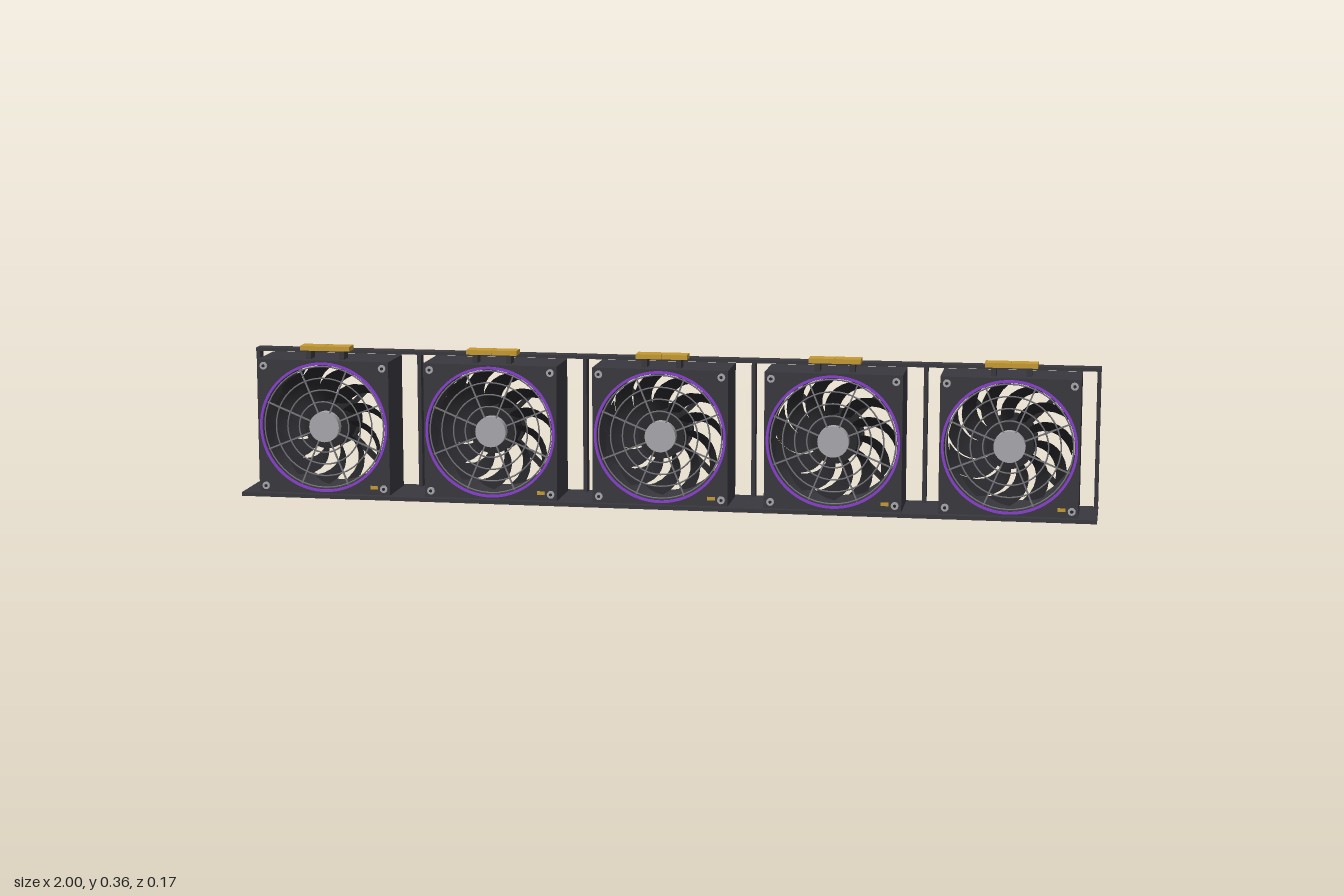
import * as THREE from 'three';

const mat = (name, color, side = THREE.FrontSide) => {
  const m = new THREE.MeshStandardMaterial({ color, side });
  m.name = name;
  return m;
};

export function createModel() {
  const M = {
    steel: mat('dark steel', 0x39383e),
    plastic: mat('black plastic', 0x2a2a2e),
    blade: mat('blade black', 0x26262a, THREE.DoubleSide),
    wire: mat('guard wire grey', 0x77777c),
    silver: mat('silver', 0xa8a8ac),
    cable: mat('cable light grey', 0xd4d4d6),
    purple: mat('purple', 0x8a3fd0),
    gold: mat('gold', 0xc49a32),
  };
  const root = new THREE.Group();
  root.name = 'fanTray';

  const add = (parent, name, geo, material, x = 0, y = 0, z = 0) => {
    const mesh = new THREE.Mesh(geo, material);
    mesh.name = name;
    mesh.position.set(x, y, z);
    parent.add(mesh);
    return mesh;
  };
  const box = (parent, name, w, h, d, material, x, y, z) =>
    add(parent, name, new THREE.BoxGeometry(w, h, d), material, x, y, z);
  // Disc whose axis runs along z
  const disc = (parent, name, r, d, material, x, y, z, sides = 32) =>
    add(parent, name, new THREE.CylinderGeometry(r, r, d, sides).rotateX(Math.PI / 2), material, x, y, z);
  // Flat ring extruded along z from z0
  const ring = (parent, name, ro, ri, d, material, z0) => {
    const s = new THREE.Shape().absarc(0, 0, ro, 0, Math.PI * 2);
    s.holes.push(new THREE.Path().absarc(0, 0, ri, 0, Math.PI * 2, true));
    return add(parent, name, new THREE.ExtrudeGeometry(s, { depth: d, bevelEnabled: false, curveSegments: 48 }), material, 0, 0, z0);
  };

  // Tray: floor, top rail and thin uprights between the fans
  box(root, 'trayFloor', 2, 0.009, 0.162, M.steel, 0, 0.0045, 0.004);
  box(root, 'topRail', 2, 0.008, 0.034, M.steel, 0, 0.331, -0.0665);
  for (const x of [-0.995, -0.6, -0.2, 0.2, 0.6, 0.995])
    box(root, 'upright', 0.009, 0.326, 0.027, M.steel, x, 0.166, -0.0665);

  // Square fan housing with a round bore
  const half = 0.158, bore = 0.147, back = -0.053, front = 0.073;
  const square = new THREE.Shape([
    new THREE.Vector2(-half, -half), new THREE.Vector2(half, -half),
    new THREE.Vector2(half, half), new THREE.Vector2(-half, half),
  ]);
  square.holes.push(new THREE.Path().absarc(0, 0, bore, 0, Math.PI * 2, true));
  const housingGeo = new THREE.ExtrudeGeometry(square, { depth: front - back, bevelEnabled: false, curveSegments: 48 });

  // Swept, pitched blade: plane bent into polar coordinates
  const bladeGeo = new THREE.PlaneGeometry(1, 1, 6, 8);
  const p = bladeGeo.attributes.position;
  for (let i = 0; i < p.count; i++) {
    const u = p.getX(i), v = p.getY(i) + 0.5;
    const r = 0.05 + 0.091 * v;
    const a = u * (0.42 - 0.04 * v) - 0.6 * v * v;
    p.setXYZ(i, r * Math.cos(a), r * Math.sin(a), u * 0.06 + 0.006 * (1 - 4 * u * u));
  }
  bladeGeo.computeVertexNormals();

  const cablePath = new THREE.CatmullRomCurve3([
    new THREE.Vector3(0.146, -0.1, -0.058),
    new THREE.Vector3(0.138, -0.125, -0.062),
    new THREE.Vector3(0.118, -0.152, -0.058),
  ]);
  const cableGeo = new THREE.TubeGeometry(cablePath, 12, 0.006, 8);

  const makeFan = (x) => {
    const fan = new THREE.Group();
    fan.name = 'fanModule';
    fan.position.set(x, 0.168, 0);
    root.add(fan);
    add(fan, 'housing', housingGeo, M.steel, 0, 0, back);
    ring(fan, 'lightRing', 0.154, 0.148, 0.004, M.purple, front);

    // Impeller and motor
    const impeller = new THREE.Group();
    impeller.name = 'impeller';
    fan.add(impeller);
    disc(impeller, 'hub', 0.054, 0.075, M.plastic, 0, 0, 0.012);
    for (let i = 0; i < 11; i++)
      add(impeller, 'blade', bladeGeo, M.blade, 0, 0, 0.012).rotation.z = (i / 11) * Math.PI * 2;
    disc(fan, 'motorMount', 0.06, 0.02, M.plastic, 0, 0, -0.042);
    for (let i = 0; i < 4; i++) {
      const a = Math.PI / 4 + i * Math.PI / 2;
      box(fan, 'rearStrut', 0.095, 0.012, 0.01, M.plastic, 0.103 * Math.cos(a), 0.103 * Math.sin(a), -0.046).rotation.z = a;
    }

    // Front finger guard
    const guard = new THREE.Group();
    guard.name = 'fingerGuard';
    guard.position.z = 0.07;
    fan.add(guard);
    for (const r of [0.06, 0.088, 0.116, 0.144])
      add(guard, 'guardRing', new THREE.TorusGeometry(r, 0.0018, 6, 48), M.wire);
    for (let i = 0; i < 8; i++) {
      const a = i * Math.PI / 4 + Math.PI / 8;
      box(guard, 'guardSpoke', 0.115, 0.0035, 0.0035, M.wire, 0.09 * Math.cos(a), 0.09 * Math.sin(a), -0.001).rotation.z = a;
    }
    disc(fan, 'hubCap', 0.036, 0.022, M.silver, 0, 0, 0.06);

    // Corner screws in front, dark pads behind
    for (const sx of [-1, 1]) for (const sy of [-1, 1]) {
      disc(fan, 'cornerScrew', 0.009, 0.005, M.silver, sx * 0.143, sy * 0.143, front + 0.001, 12);
      disc(fan, 'screwSocket', 0.004, 0.001, M.plastic, sx * 0.143, sy * 0.143, front + 0.004, 6);
      box(fan, 'rearPad', 0.024, 0.024, 0.004, M.plastic, sx * 0.142, sy * 0.142, back - 0.002);
    }
    box(fan, 'statusPlate', 0.018, 0.008, 0.003, M.gold, 0.12, -0.14, front + 0.0015);
    add(fan, 'cable', cableGeo, M.cable);

    // Pull handle: two legs under a gold bar
    for (const s of [-1, 1]) {
      box(fan, 'handleLeg', 0.012, 0.021, 0.033, M.steel, s * 0.04, half + 0.0095, 0.0335);
      box(fan, 'handleBar', 0.0595, 0.011, 0.039, M.gold, s * 0.03, 0.1835, 0.0345);
    }
  };
  for (let i = -2; i <= 2; i++) makeFan(i * 0.4);

  return root;
}
